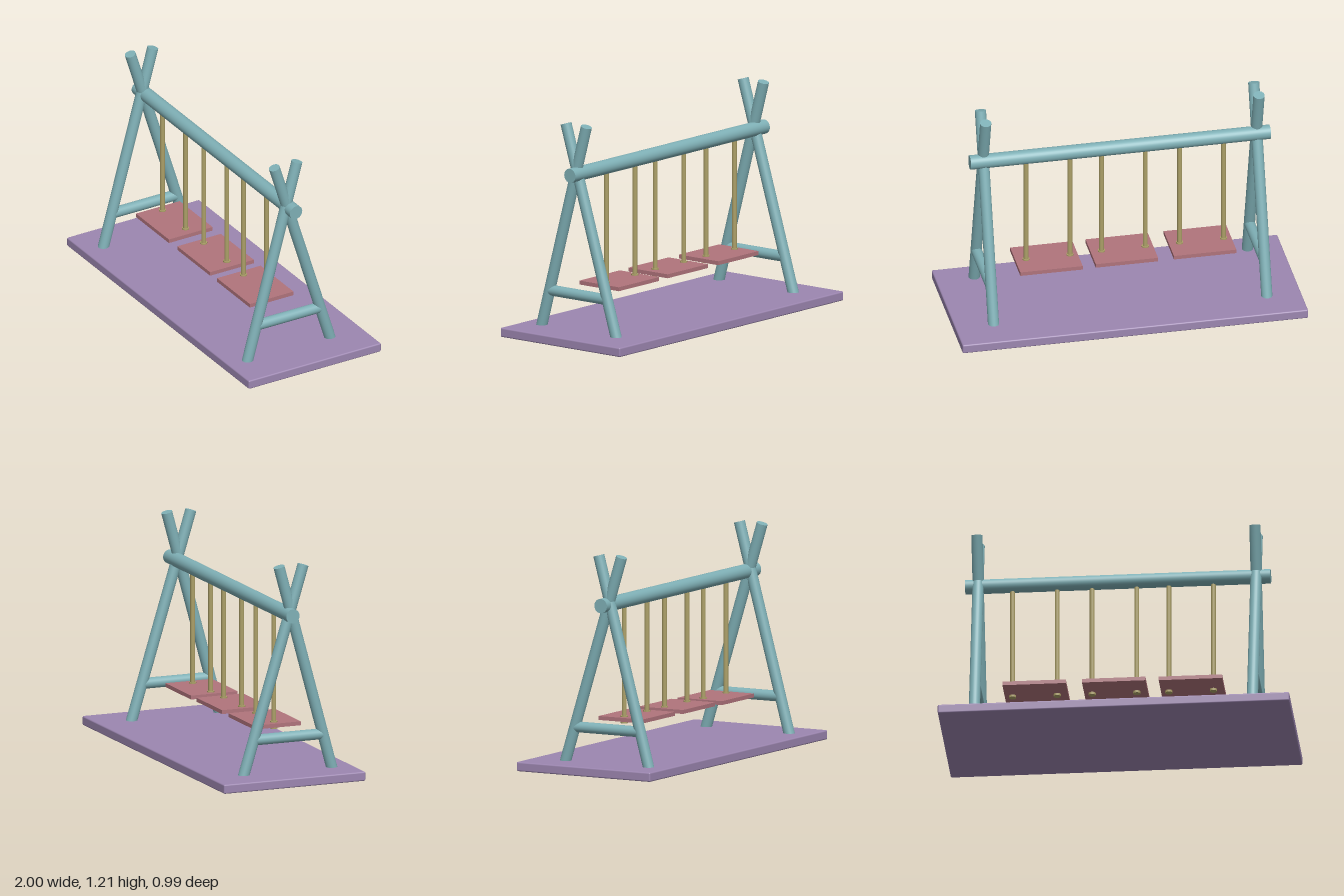
import * as THREE from 'three';
import { RoundedBoxGeometry } from 'three/addons/geometries/RoundedBoxGeometry.js';

const paint = (color) => new THREE.MeshStandardMaterial({ color });
const teal = paint(0x7fb0b6);
const purple = paint(0x9c86b0);
const red = paint(0xb0747c);
const straw = paint(0xaca068);

// Round pole between two points
function pole(name, a, b, radius, material, sides = 24) {
  const from = new THREE.Vector3(...a);
  const dir = new THREE.Vector3(...b).sub(from);
  const geometry = new THREE.CylinderGeometry(radius, radius, dir.length(), sides);
  const mesh = new THREE.Mesh(geometry, material);
  mesh.name = name;
  mesh.position.copy(from).addScaledVector(dir, 0.5);
  mesh.quaternion.setFromUnitVectors(new THREE.Vector3(0, 1, 0), dir.normalize());
  return mesh;
}

// Crossed pair of legs with a brace
function endFrame(name, x, braceY) {
  const frame = new THREE.Group();
  frame.name = name;
  frame.add(
    pole('frontLeg', [x, 0.038, 0.308], [x, 1.205, -0.012], 0.031, teal),
    pole('backLeg', [x, 0.038, -0.227], [x, 1.205, 0.133], 0.031, teal),
    pole('brace', [x, braceY, 0.25], [x, braceY, -0.155], 0.03, teal)
  );
  return frame;
}

// Flat seat hung from two ropes, with a knot through the seat at each rope
function swing(name, x, y) {
  const group = new THREE.Group();
  group.name = name;
  const seat = new THREE.Mesh(new THREE.BoxGeometry(0.35, 0.022, 0.28), red);
  seat.name = 'seat';
  seat.position.set(x, y, 0.043);
  group.add(seat);
  for (const side of [-1, 1]) {
    const rx = x - 0.008 + side * 0.123;
    group.add(
      pole('rope', [rx, y, 0.04], [rx, 0.93, 0.04], 0.0135, straw, 16),
      pole('knot', [rx, y - 0.024, 0.04], [rx, y + 0.018, 0.04], 0.02, straw, 16)
    );
  }
  return group;
}

export function createModel() {
  const model = new THREE.Group();
  model.name = 'swingSet';
  model.rotation.y = -0.0735; // the whole set stands slightly turned

  const base = new THREE.Mesh(new RoundedBoxGeometry(1.94, 0.052, 0.85, 3, 0.008), purple);
  base.name = 'base';
  base.position.y = 0.026;
  model.add(base);

  model.add(pole('topBeam', [-0.849, 0.935, 0.041], [0.835, 0.935, 0.041], 0.04, teal, 32));
  model.add(endFrame('rightFrame', -0.778, 0.243), endFrame('leftFrame', 0.756, 0.253));
  model.add(
    swing('rightSwing', -0.458, 0.278),
    swing('middleSwing', -0.019, 0.277),
    swing('leftSwing', 0.404, 0.274)
  );
  return model;
}
